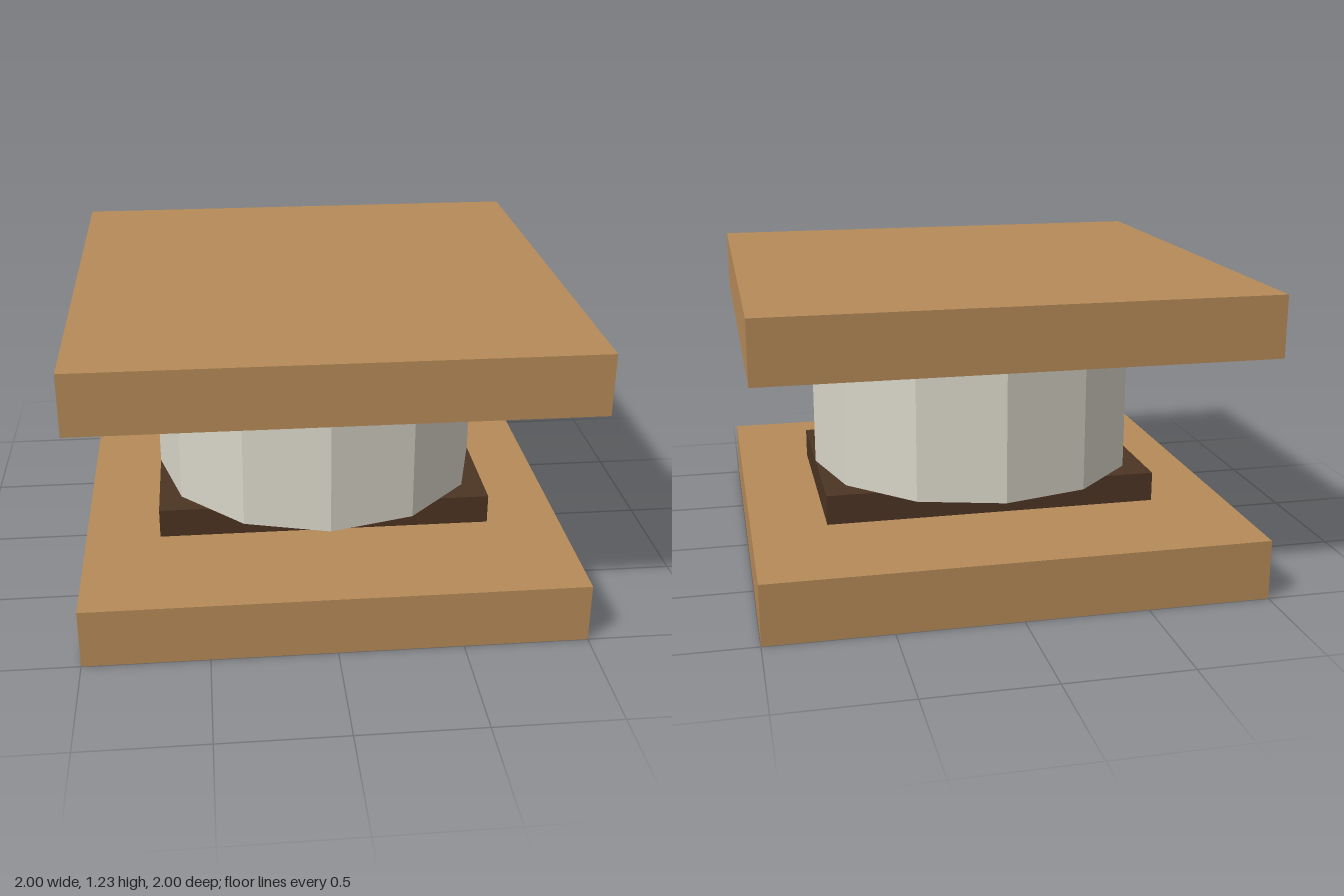
import * as THREE from 'three';

const material = (name, color) => {
  const m = new THREE.MeshStandardMaterial({ color });
  m.name = name;
  return m;
};

export function createModel() {
  const group = new THREE.Group();
  group.name = 'pedestal';

  const wood = material('light wood', 0xb58a58);
  const darkWood = material('dark wood', 0x4c3423);
  const stone = material('pale stone', 0xd8d4c7);
  stone.flatShading = true;

  // Adds a part resting at height y
  const add = (name, geometry, mat, y, height) => {
    const mesh = new THREE.Mesh(geometry, mat);
    mesh.name = name;
    mesh.position.y = y + height / 2;
    group.add(mesh);
  };

  // Square slabs at the bottom and top
  const slab = 0.246;
  add('baseSlab', new THREE.BoxGeometry(2, slab, 2), wood, 0, slab);
  add('topSlab', new THREE.BoxGeometry(2, slab, 2), wood, 0.985, slab);

  // Dark plinth, narrower from front to back
  add('plinth', new THREE.BoxGeometry(1.385, 0.123, 0.923), darkWood, 0.246, 0.123);

  // Twelve-sided drum between plinth and top
  add('drum', new THREE.CylinderGeometry(0.692, 0.692, 0.616, 12), stone, 0.369, 0.616);

  return group;
}
